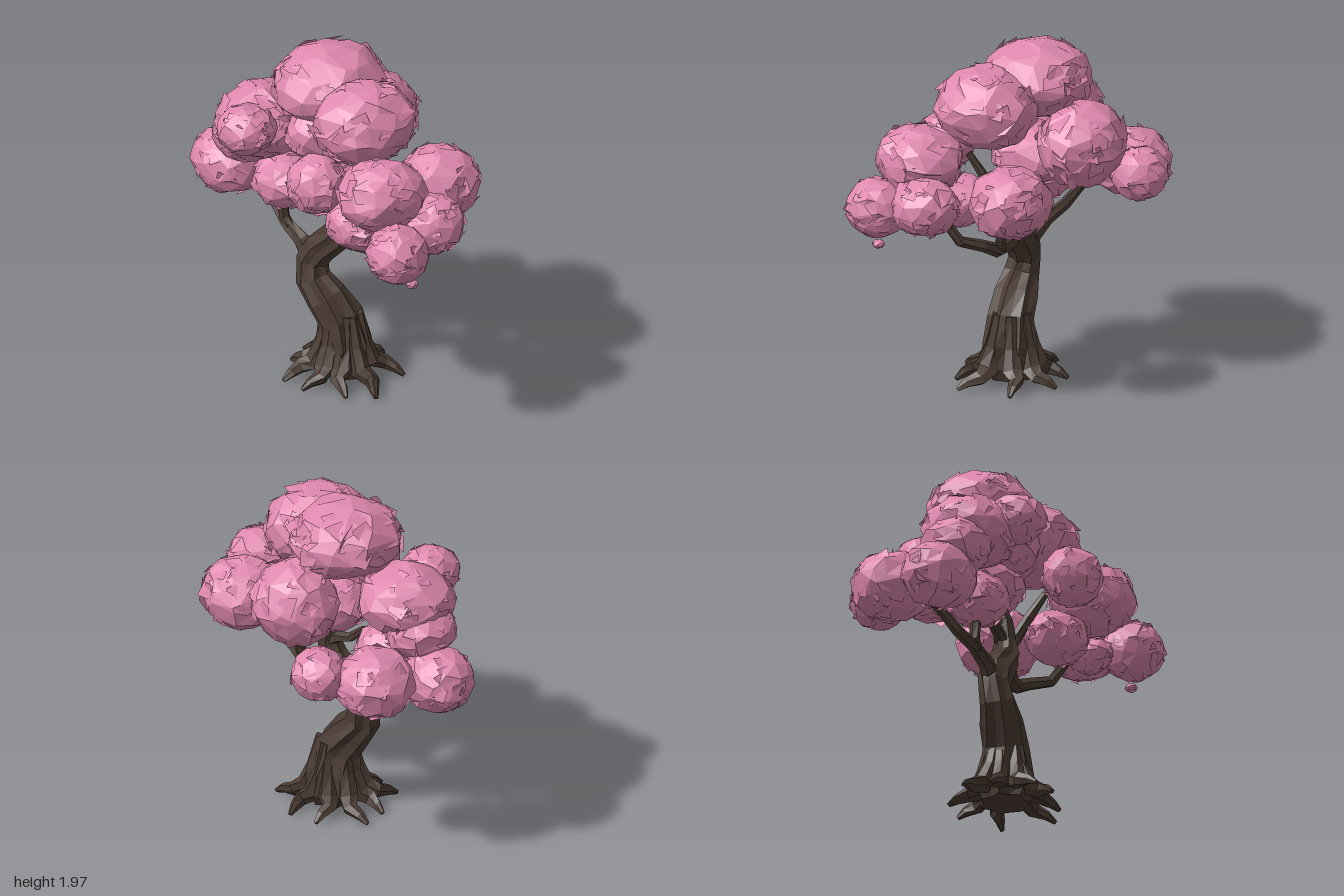
import * as THREE from 'three';
import { mergeVertices, mergeGeometries } from 'three/addons/utils/BufferGeometryUtils.js';

const V = (x, y, z) => new THREE.Vector3(x, y, z);

function seeded(seed) {
  let s = seed * 7919 + 17;
  return () => {
    s = (s * 1664525 + 1013904223) % 4294967296;
    return s / 4294967296;
  };
}

// Tapered limb through [x, y, z, radius] stations, with gnarled ridges
function limbGeometry(stations, sides, ridge, twist, seed) {
  const rand = seeded(seed);
  const pts = stations.map(s => V(s[0], s[1], s[2]));
  const pos = [], index = [];
  const start = pts[1].clone().sub(pts[0]).normalize();
  let u = Math.abs(start.y) > 0.8 ? V(1, 0, 0) : V(0, 1, 0);
  pts.forEach((p, i) => {
    const t = pts[Math.min(i + 1, pts.length - 1)].clone().sub(pts[Math.max(i - 1, 0)]).normalize();
    u = u.clone().addScaledVector(t, -u.dot(t)).normalize();
    const w = t.clone().cross(u);
    for (let k = 0; k < sides; k++) {
      const a = (k / sides) * Math.PI * 2 + twist * i;
      const r = stations[i][3] * (1 + (k % 2 ? -ridge : ridge) + (rand() - 0.5) * ridge);
      const q = p.clone().addScaledVector(u, Math.cos(a) * r).addScaledVector(w, Math.sin(a) * r);
      pos.push(q.x, Math.max(q.y, 0.005), q.z);
    }
  });
  for (let i = 0; i < pts.length - 1; i++) {
    for (let k = 0; k < sides; k++) {
      const a = i * sides + k, b = i * sides + (k + 1) % sides;
      index.push(a, b, b + sides, a, b + sides, a + sides);
    }
  }
  // End caps
  const last = (pts.length - 1) * sides;
  for (let k = 1; k < sides - 1; k++) {
    index.push(0, k + 1, k, last, last + k, last + k + 1);
  }
  const g = new THREE.BufferGeometry();
  g.setAttribute('position', new THREE.Float32BufferAttribute(pos, 3));
  g.setIndex(index);
  g.computeVertexNormals();
  return g;
}

// Faceted puff of blossom, ragged with small petal shards on its surface
function puffGeometry(rx, ry, rz, seed) {
  const rand = seeded(seed), jit = a => (rand() - 0.5) * a;
  let core = new THREE.IcosahedronGeometry(1, 2);
  core.deleteAttribute('uv');
  core.deleteAttribute('normal');
  core = mergeVertices(core, 1e-3);
  const p = core.attributes.position, v = V(0, 0, 0);
  for (let i = 0; i < p.count; i++) {
    v.fromBufferAttribute(p, i);
    v.add(V(jit(0.36), jit(0.36), jit(0.36))).normalize().multiplyScalar(0.99 + jit(0.1));
    p.setXYZ(i, v.x, v.y, v.z);
  }
  core = core.toNonIndexed();
  const pos = [];
  for (let i = 0; i < 44; i++) {
    const y = jit(2), a = rand() * Math.PI * 2, h = Math.sqrt(1 - y * y);
    const n = V(h * Math.cos(a), y, h * Math.sin(a));
    const side = V(jit(1), jit(1), jit(1)).cross(n).normalize();
    const up = n.clone().cross(side);
    const c = n.clone().multiplyScalar(0.96), s = 0.17 + rand() * 0.15;
    const corner = (e, f, out) => c.clone().addScaledVector(side, e * s)
      .addScaledVector(up, f * s).addScaledVector(n, out);
    const q = [corner(-1, jit(0.6), -0.07), corner(jit(0.5), -0.8, 0),
      corner(1, jit(0.6), rand() * 0.1), corner(jit(0.5), 0.8, jit(0.08))];
    [0, 1, 2, 0, 2, 3].forEach(k => pos.push(q[k].x, q[k].y, q[k].z));
  }
  const shards = new THREE.BufferGeometry();
  shards.setAttribute('position', new THREE.Float32BufferAttribute(pos, 3));
  const g = mergeGeometries([core, shards]);
  g.scale(rx, ry, rz);
  g.computeVertexNormals();
  return g;
}

export function createModel() {
  const tree = new THREE.Group();
  tree.name = 'blossomTree';
  const bark = new THREE.MeshStandardMaterial({ color: 0x4b3c33, flatShading: true });
  bark.name = 'bark';
  const blossom = new THREE.MeshStandardMaterial({ color: 0xdf89ae, flatShading: true, side: THREE.DoubleSide });
  blossom.name = 'blossomPink';
  const add = (parent, name, geometry, material) => {
    const m = new THREE.Mesh(geometry, material);
    m.name = name;
    parent.add(m);
    return m;
  };

  // Winding trunk
  add(tree, 'trunk', limbGeometry([
    [0.02, 0.03, 0.02, 0.13], [0.02, 0.1, 0.02, 0.155], [0.02, 0.22, 0.02, 0.145],
    [0.0, 0.36, 0.04, 0.122], [-0.07, 0.47, 0.075, 0.11], [-0.145, 0.57, 0.11, 0.092],
    [-0.16, 0.67, 0.1, 0.083], [-0.12, 0.76, 0.07, 0.088], [-0.04, 0.85, 0.04, 0.085],
    [0.025, 0.93, 0.02, 0.073], [0.05, 1.03, 0, 0.06], [0.03, 1.15, 0, 0.05], [-0.03, 1.32, -0.03, 0.035],
  ], 14, 0.1, 0.09, 3), bark);

  // Branches reaching into the crown
  const branches = [
    [[-0.17, 0.68, 0.1, 0.055], [-0.24, 0.77, 0.11, 0.045], [-0.36, 0.83, 0.12, 0.036],
      [-0.48, 0.89, 0.1, 0.032], [-0.55, 0.98, 0.06, 0.028], [-0.64, 1.08, 0, 0.02]],
    [[-0.33, 0.81, 0.12, 0.034], [-0.37, 0.87, 0.13, 0.03], [-0.37, 0.96, 0.14, 0.03], [-0.41, 1.06, 0.14, 0.02]],
    [[-0.01, 0.85, 0.03, 0.05], [0.1, 0.84, -0.02, 0.046], [0.22, 0.84, -0.06, 0.042],
      [0.34, 0.9, -0.07, 0.036], [0.47, 0.95, -0.03, 0.032], [0.52, 1.05, 0.02, 0.028], [0.58, 1.25, 0.08, 0.02]],
    [[0.2, 0.83, -0.06, 0.036], [0.215, 0.92, -0.09, 0.03], [0.21, 1.02, -0.1, 0.027], [0.28, 1.16, -0.22, 0.02]],
    [[0.04, 1.02, 0, 0.045], [-0.04, 1.07, 0.02, 0.033], [-0.13, 1.1, 0.04, 0.027], [-0.24, 1.2, 0.06, 0.018]],
    [[0.04, 0.99, 0, 0.045], [0.1, 1.06, 0.03, 0.035], [0.13, 1.18, 0.1, 0.03], [0.18, 1.34, 0.2, 0.02]],
    [[0.03, 1.1, 0, 0.05], [0.0, 1.2, -0.06, 0.042], [-0.09, 1.28, -0.14, 0.035], [-0.2, 1.38, -0.22, 0.025]],
  ];
  branches.forEach((b, i) => add(tree, 'branch' + (i + 1), limbGeometry(b, 6, 0.08, 0.1, 20 + i), bark));

  // Buttressed roots: angle in degrees and reach from the trunk axis
  const roots = [[5, 0.35], [42, 0.3], [80, 0.31], [115, 0.34], [150, 0.31], [185, 0.34],
    [225, 0.3], [268, 0.3], [312, 0.32]];
  roots.forEach(([deg, reach], i) => {
    const at = (f, y, r, bend) => {
      const a = THREE.MathUtils.degToRad(deg + bend * (i % 2 ? 1 : -1));
      return [0.02 + Math.cos(a) * reach * f, y, 0.02 + Math.sin(a) * reach * f, r];
    };
    add(tree, 'root' + (i + 1), limbGeometry([
      at(0.26, 0.4, 0.03, -8), at(0.36, 0.22, 0.045, -4), at(0.5, 0.1, 0.058, 0), at(0.72, 0.07, 0.042, 5),
      at(0.9, 0.05, 0.028, -2), at(1.05, 0.018, 0.012, -5),
    ], 6, 0.12, 0.1, 40 + i), bark);
  });

  // Crown: centre x, y, z and radii of each puff
  const crown = new THREE.Group();
  crown.name = 'crown';
  tree.add(crown);
  const puffs = [
    [-0.15, 1.76, -0.01, 0.31, 0.22, 0.33], [0.21, 1.67, 0.03, 0.27, 0.23, 0.31],
    [-0.48, 1.46, 0.19, 0.27, 0.21, 0.28], [-0.35, 1.52, 0.42, 0.17, 0.14, 0.17],
    [-0.08, 1.52, 0.15, 0.16, 0.16, 0.17], [0.2, 1.38, 0.36, 0.18, 0.17, 0.17],
    [0.57, 1.41, 0.19, 0.24, 0.2, 0.26], [0.82, 1.17, 0.28, 0.18, 0.17, 0.18],
    [0.74, 1.23, -0.02, 0.19, 0.17, 0.2], [0.4, 1.25, -0.35, 0.24, 0.21, 0.23],
    [0.31, 1.11, 0.15, 0.2, 0.15, 0.18], [-0.17, 1.45, -0.35, 0.27, 0.25, 0.24],
    [-0.73, 1.15, -0.17, 0.23, 0.2, 0.23], [-0.55, 1.19, -0.42, 0.17, 0.15, 0.16],
    [-0.77, 1.09, 0.21, 0.23, 0.19, 0.2], [-0.36, 1.11, 0.14, 0.19, 0.16, 0.18],
    [-0.61, 1.33, 0.2, 0.2, 0.16, 0.21], [-0.08, 1.35, -0.06, 0.24, 0.17, 0.25],
    [0.6, 1.1, 0.15, 0.12, 0.1, 0.14], [0.87, 0.98, 0.22, 0.035, 0.025, 0.035],
  ];
  puffs.forEach(([x, y, z, rx, ry, rz], i) => {
    add(crown, 'blossomPuff' + (i + 1), puffGeometry(rx, ry, rz, 101 + i * 13), blossom).position.set(x, y, z);
  });
  return tree;
}
